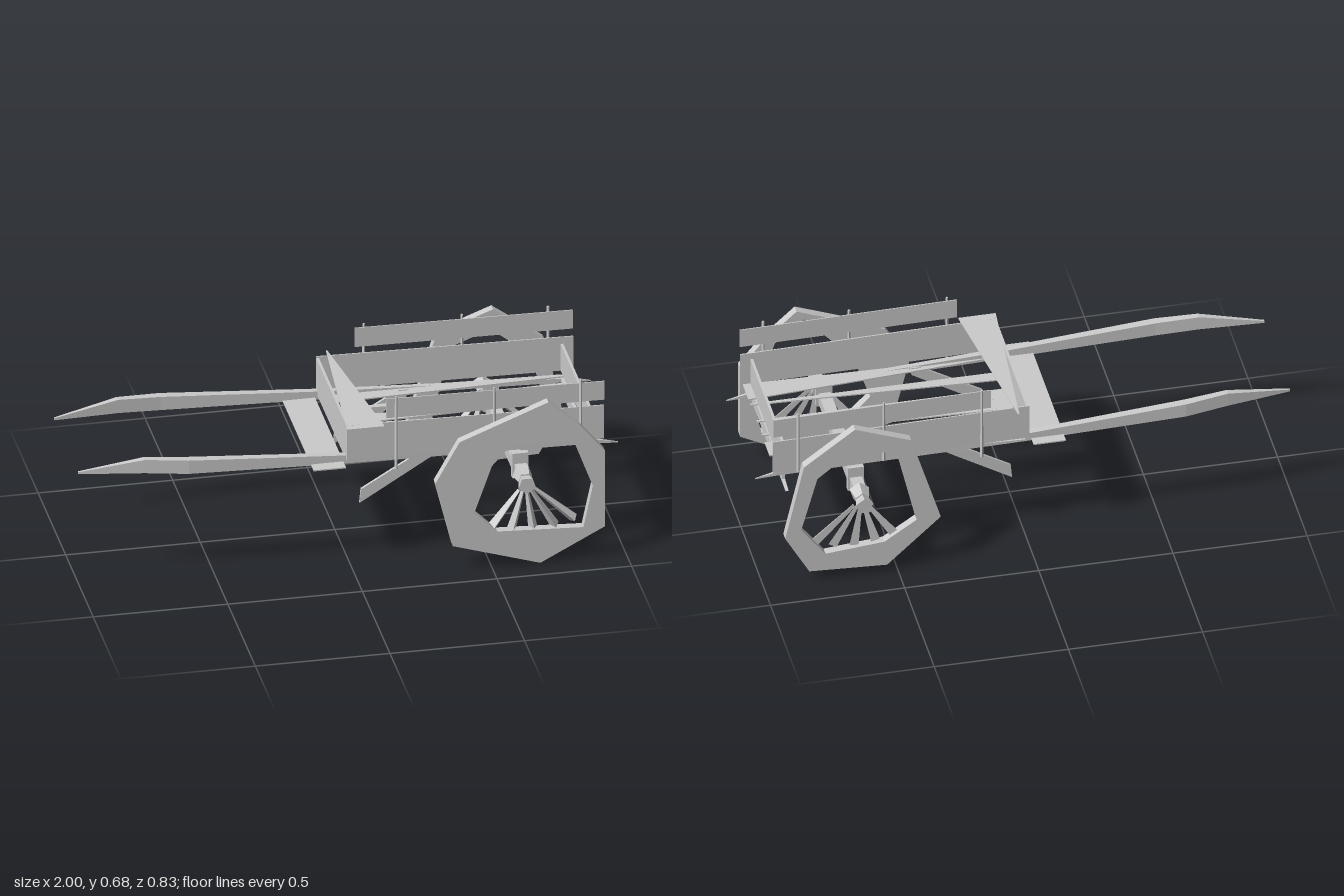
import * as THREE from 'three';

const mat = new THREE.MeshStandardMaterial({ color: 0xcccccc, flatShading: true, side: THREE.DoubleSide });

export function createModel() {
  const cart = new THREE.Group();
  cart.name = 'handcart';

  const add = (name, geometry, parent = cart) => {
    const mesh = new THREE.Mesh(geometry, mat);
    mesh.name = name;
    parent.add(mesh);
    return mesh;
  };

  // Box given by its min and max corners
  const box = (name, x0, x1, y0, y1, z0, z1) => {
    const m = add(name, new THREE.BoxGeometry(x1 - x0, y1 - y0, z1 - z0));
    m.position.set((x0 + x1) / 2, (y0 + y1) / 2, (z0 + z1) / 2);
    return m;
  };

  // Flat outline of [a, b] points, extruded by depth
  const outline = (pts) => pts.map(([a, b]) => new THREE.Vector2(a, b));
  const slab = (pts, depth, hole) => {
    const shape = new THREE.Shape(outline(pts));
    if (hole) shape.holes.push(new THREE.Path(outline(hole)));
    return new THREE.ExtrudeGeometry(shape, { depth, bevelEnabled: false });
  };

  // Horizontal plank drawn in x and z, with its top at height y
  const plank = (name, pts, y, depth = 0.005) => {
    const m = add(name, slab(pts, depth));
    m.rotation.x = Math.PI / 2;
    m.position.y = y;
  };

  // Four-sided beam through sections [x, bottom, top, z, half width]
  const beam = (sections) => {
    const pos = [], idx = [];
    sections.forEach(([x, b, t, z, w], i) => {
      pos.push(x, b, z - w, x, b, z + w, x, t, z + w, x, t, z - w);
      if (!i) return;
      for (let k = 0; k < 4; k++) {
        const a = (i - 1) * 4 + k, c = (i - 1) * 4 + (k + 1) % 4;
        idx.push(a, a + 4, c, c, a + 4, c + 4);
      }
    });
    const g = new THREE.BufferGeometry();
    g.setAttribute('position', new THREE.Float32BufferAttribute(pos, 3));
    g.setIndex(idx);
    g.computeVertexNormals();
    return g;
  };

  // Tapered rod between two points
  const rod = (name, a, b, ra, rb, sides, parent) => {
    const p = new THREE.Vector3(...a), q = new THREE.Vector3(...b);
    const m = add(name, new THREE.CylinderGeometry(rb, ra, p.distanceTo(q), sides), parent);
    m.position.copy(p).add(q).multiplyScalar(0.5);
    m.quaternion.setFromUnitVectors(new THREE.Vector3(0, 1, 0), q.sub(p).normalize());
    return m;
  };

  // Wheels: rough angular rims with spokes left only in the lower half
  const wheel = (name, s, rim, hole, z0, z1) => {
    const g = new THREE.Group();
    g.name = name;
    cart.add(g);
    add('rim', slab(rim, z1 - z0, hole), g).position.z = z0;
    const zm = (z0 + z1) / 2;
    for (const [x, y] of [[0.51, 0.16], [0.58, 0.14], [0.66, 0.13], [0.74, 0.14], [0.81, 0.16]]) {
      const d = new THREE.Vector2(x - 0.63, y - 0.33).setLength(0.04);
      rod('spoke', [0.63 + d.x, 0.33 + d.y, zm - s * 0.01], [x, y, zm - s * 0.01], 0.008, 0.02, 3, g);
    }
    rod('hubInner', [0.63, 0.335, s * 0.32], [0.63, 0.335, s * 0.375], 0.038, 0.026, 5, g);
    rod('hubOuter', [0.63, 0.33, s * 0.375], [0.63, 0.33, s * 0.415], 0.026, 0.034, 5, g);
  };
  wheel('leftSideWheel', 1,
    [[0.71, 0.66], [0.38, 0.53], [0.29, 0.37], [0.355, 0.107], [0.68, 0.005], [0.92, 0.13], [0.92, 0.44], [0.83, 0.55]],
    [[0.68, 0.62], [0.5, 0.42], [0.435, 0.235], [0.52, 0.15], [0.84, 0.135], [0.875, 0.3], [0.79, 0.53]],
    0.375, 0.408);
  wheel('rightSideWheel', -1,
    [[0.85, 0.52], [0.66, 0.66], [0.45, 0.58], [0.34, 0.22], [0.54, 0.035], [0.83, 0.05], [0.92, 0.21]],
    [[0.8, 0.46], [0.65, 0.58], [0.5, 0.52], [0.43, 0.22], [0.55, 0.14], [0.77, 0.12], [0.86, 0.24]],
    -0.386, -0.353);

  // Axle and its brackets
  box('axle', 0.607, 0.652, 0.315, 0.358, -0.32, 0.33);
  for (const z of [-0.255, 0.28]) box('axleBracket', 0.6, 0.66, 0.3, 0.4, z - 0.011, z + 0.011);

  // Long shafts running from the handles back under the bed
  for (const s of [-1, 1]) {
    const e = s > 0 ? 0.015 : 0;
    add('shaft', beam([
      [-1, 0.452, 0.46, s * (0.21 + e), 0.004],
      [-0.76, 0.448, 0.502, s * (0.235 + e), 0.012],
      [-0.6, 0.438, 0.492, s * (0.25 + e), 0.016],
      [0, 0.418, 0.45, s * (0.25 + e), 0.012],
      [0.92, 0.395, 0.41, s * (0.24 + e), 0.005],
      [1, 0.388, 0.392, s * (0.24 + e), 0.001],
    ]));
  }

  // Tapering floor slats: [z at front, half width, z at tail, half width]
  for (const [za, wa, zb, wb] of [
    [-0.225, 0.045, -0.222, 0.006], [-0.122, 0.003, -0.125, 0.042], [-0.035, 0.035, -0.035, 0.004],
    [0.025, 0.03, 0.052, 0.004], [0.135, 0.024, 0.158, 0.004], [0.255, 0.005, 0.237, 0.048],
  ]) plank('floorSlat', [[0, za - wa], [0.93, zb - wb], [0.93, zb + wb], [0, za + wa]], 0.432);

  // Front footboard and the tapering cap over the front panel
  plank('footboard', [[-0.145, -0.3], [-0.025, -0.3], [-0.025, 0.325], [-0.145, 0.325]], 0.428);
  plank('frontCap', [[0.03, -0.31], [0.035, -0.31], [0.12, 0.32], [-0.02, 0.32]], 0.579, 0.003);

  // Side boards, upper rails and the stakes that carry them
  for (const [zBoard, zRail] of [[0.288, 0.298], [-0.268, -0.276]]) {
    add('sideBoard', slab([[-0.015, 0.44], [0.94, 0.428], [0.94, 0.565], [-0.015, 0.58]], 0.005)).position.z = zBoard - 0.0025;
    add('upperRail', slab([[0.13, 0.6], [0.94, 0.592], [0.94, 0.668], [0.13, 0.678]], 0.004)).position.z = zRail - 0.002;
    const z = zRail + Math.sign(zRail) * 0.008;
    for (const [x, y0] of [[0.165, 0.39], [0.53, 0.43], [0.85, 0.43]]) rod('stake', [x, y0, z], [x, 0.688, z], 0.006, 0.005, 4);
  }

  // End panels
  box('frontPanel', -0.015, -0.005, 0.432, 0.575, -0.265, 0.288);
  box('tailPanel', 0.892, 0.902, 0.432, 0.54, -0.262, 0.288);

  // Lower cross board beneath the tail
  const lower = add('tailCrossBoard', slab([[0.33, 0.36], [0.27, 0.4], [-0.235, 0.415], [-0.24, 0.372], [-0.3, 0.36]], 0.012));
  lower.rotation.y = -Math.PI / 2;
  lower.position.x = 0.9;

  // Slanted resting props under the front of the bed
  for (const z of [-0.225, 0.25]) {
    add('prop', slab([[0.04, 0.24], [0.045, 0.295], [0.28, 0.435], [0.32, 0.435], [0.31, 0.405]], 0.011)).position.z = z - 0.0055;
  }

  return cart;
}
